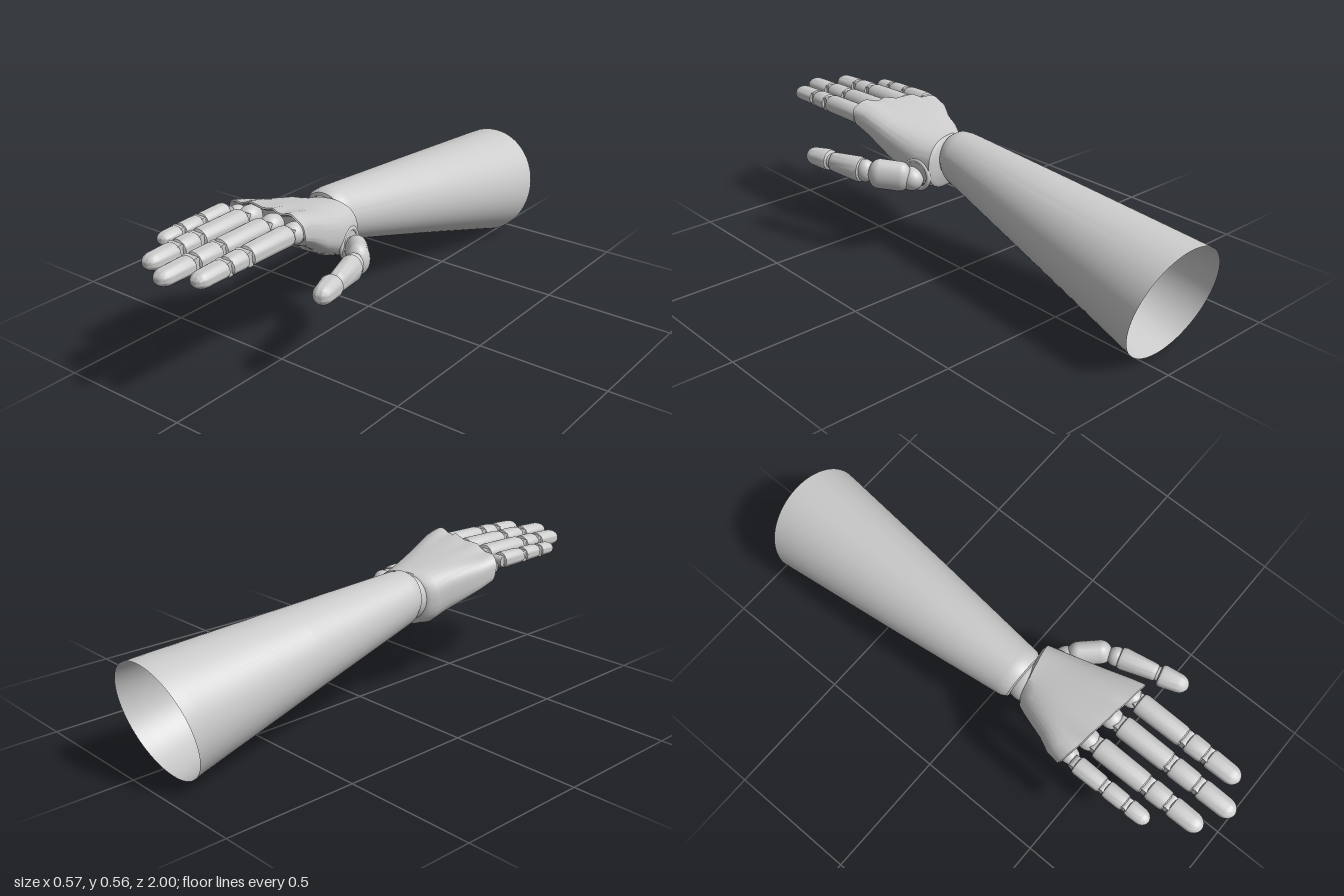
import * as THREE from 'three';
import { toCreasedNormals } from 'three/addons/utils/BufferGeometryUtils.js';

const mat = new THREE.MeshStandardMaterial({ color: 0xcccccc, side: THREE.DoubleSide });
const V = (x, y, z) => new THREE.Vector3(x, y, z);

function add(parent, name, geo) {
  const m = new THREE.Mesh(geo, mat);
  m.name = name;
  parent.add(m);
  return m;
}

// Skin through closed rings of equal point count
function loft(rings, capStart, capEnd) {
  const n = rings[0].length, pos = [], idx = [];
  rings.forEach(r => r.forEach(p => pos.push(p.x, p.y, p.z)));
  for (let i = 0; i < rings.length - 1; i++)
    for (let j = 0; j < n; j++) {
      const a = i * n + j, b = i * n + (j + 1) % n;
      idx.push(a, b, a + n, b, b + n, a + n);
    }
  const cap = (k, flip) => {
    const c = rings[k].reduce((s, p) => s.add(p), V(0, 0, 0)).divideScalar(n);
    const ci = pos.length / 3;
    pos.push(c.x, c.y, c.z);
    for (let j = 0; j < n; j++) {
      const a = k * n + j, b = k * n + (j + 1) % n;
      idx.push(ci, flip ? b : a, flip ? a : b);
    }
  };
  if (capStart) cap(0, true);
  if (capEnd) cap(rings.length - 1, false);
  const g = new THREE.BufferGeometry();
  g.setAttribute('position', new THREE.Float32BufferAttribute(pos, 3));
  g.setIndex(idx);
  return toCreasedNormals(g, 0.7);
}

// Superellipse ring: p < 1 is boxier; zx, zy slant its plane; tilt drops the right side; wave scallops it
function ring({ x, y, rx, ry, z, p = 1, zx = 0, zy = 0, tilt = 0, wave = 0 }, n = 72) {
  const pw = v => Math.sign(v) * Math.abs(v) ** p;
  return Array.from({ length: n }, (_, i) => {
    const a = i / n * Math.PI * 2, dx = rx * pw(Math.cos(a)), dy = ry * pw(Math.sin(a));
    const scallop = wave * Math.cos((x + dx - 0.058) / 0.104 * Math.PI * 2) * Math.sin(a);
    return V(x + dx, y + dy + tilt * dx + scallop, z + zx * dx + zy * dy);
  });
}

// Rounded finger bone of length len along +z, optionally with a domed fingertip
function bone(len, r0, r1, tip) {
  const e = 0.1 * r0;
  const pts = [[0, 0], [r0 * 0.8, 0], [r0 * 0.94, e], [r0, e * 4]];
  if (tip) for (let i = 0; i <= 8; i++) {
    const a = i / 8 * Math.PI / 2;
    pts.push([Math.max(r1 * Math.cos(a), 0), len - r1 * 1.15 * (1 - Math.sin(a))]);
  } else pts.push([r1, len - e * 4], [r1 * 0.94, len - e], [r1 * 0.8, len], [0, len]);
  const g = new THREE.LatheGeometry(pts.map(p => new THREE.Vector2(...p)), 28);
  return toCreasedNormals(g.rotateX(Math.PI / 2), 0.7);
}

// Bone placed from point a to point b
function boneBetween(parent, name, a, b, r0, r1, tip, sx = 1, sy = 1) {
  const m = add(parent, name, bone(a.distanceTo(b), r0, r1, tip));
  m.position.copy(a);
  m.lookAt(b);
  m.scale.set(sx, sy, 1);
}

function ball(parent, name, c, rx, ry = rx, rz = rx) {
  const m = add(parent, name, new THREE.SphereGeometry(1, 28, 18));
  m.position.copy(c);
  m.scale.set(rx, ry, rz);
}

// Hinge pin across a finger
function hinge(parent, c, r) {
  const m = add(parent, 'hinge', new THREE.CylinderGeometry(r * 0.72, r * 0.72, r * 1.5, 20));
  m.rotation.z = Math.PI / 2;
  m.position.copy(c);
}

export function createModel() {
  const root = new THREE.Group();
  root.name = 'prostheticArm';

  // Forearm sleeve, open at the elbow, with a rounded lip at the wrist
  add(root, 'forearmSleeve', loft([
    { x: -0.0725, y: 0.2175, rx: 0.2175, ry: 0.2125, z: -0.945, zy: -0.26 },
    { x: -0.0735, y: 0.226, rx: 0.213, ry: 0.208, z: -0.9, zy: -0.25 },
    { x: -0.087, y: 0.312, rx: 0.16, ry: 0.157, z: -0.4, zy: -0.08 },
    { x: -0.1, y: 0.393, rx: 0.105, ry: 0.108, z: 0.08, zy: 0.1 },
    { x: -0.1, y: 0.396, rx: 0.101, ry: 0.103, z: 0.11, zy: 0.12 },
    { x: -0.1, y: 0.397, rx: 0.091, ry: 0.093, z: 0.128, zy: 0.12 },
    { x: -0.1, y: 0.397, rx: 0.078, ry: 0.08, z: 0.132, zy: 0.12 },
    { x: -0.1, y: 0.397, rx: 0.072, ry: 0.074, z: 0.1, zy: 0.12 },
  ].map(s => ring(s))));
  ball(root, 'wristJoint', V(-0.1, 0.392, 0.15), 0.078, 0.085, 0.08);

  // Palm shell, scalloped and hollow at the knuckles
  const mouth = { x: -0.083, p: 0.55, zx: 0.15, zy: 0.2, tilt: 0.1 };
  add(root, 'palm', loft([
    { x: -0.07, y: 0.385, rx: 0.1, ry: 0.085, z: 0.145, zx: -0.25, p: 0.85 },
    { x: -0.07, y: 0.384, rx: 0.117, ry: 0.1, z: 0.155, zx: -0.25, p: 0.85 },
    { x: -0.068, y: 0.386, rx: 0.13, ry: 0.106, z: 0.2, zx: -0.1, p: 0.8 },
    { x: -0.071, y: 0.41, rx: 0.146, ry: 0.1, z: 0.26, p: 0.75 },
    { x: -0.075, y: 0.436, rx: 0.163, ry: 0.089, z: 0.33, zx: 0.05, zy: 0.1, p: 0.65, tilt: 0.04 },
    { ...mouth, y: 0.475, rx: 0.187, ry: 0.07, z: 0.41, wave: 0.003 },
    { ...mouth, y: 0.492, rx: 0.197, ry: 0.06, z: 0.462, wave: 0.007 },
    { ...mouth, y: 0.492, rx: 0.193, ry: 0.055, z: 0.466, wave: 0.007 },
    { ...mouth, y: 0.492, rx: 0.186, ry: 0.049, z: 0.46, wave: 0.006 },
    { ...mouth, y: 0.485, rx: 0.175, ry: 0.045, z: 0.415 },
  ].map(s => ring(s)), true, true));

  // Four fingers: x, radius, knuckle z, then start and end z of each bone
  const fingers = [
    ['indexFinger', 0.058, 0.041, 0.482, [0.515, 0.712, 0.728, 0.803, 0.815, 0.945]],
    ['middleFinger', -0.045, 0.042, 0.475, [0.52, 0.725, 0.738, 0.84, 0.856, 1.0]],
    ['ringFinger', -0.155, 0.042, 0.462, [0.505, 0.71, 0.726, 0.803, 0.817, 0.945]],
    ['littleFinger', -0.25, 0.034, 0.445, [0.487, 0.602, 0.615, 0.698, 0.71, 0.795]],
  ];
  for (const [name, x, r, kz, s] of fingers) {
    const f = new THREE.Group();
    f.name = name;
    root.add(f);
    const little = name === 'littleFinger';
    const y = z => 0.499 - (z - 0.5) * 0.012;
    ball(f, 'knuckle', V(little ? -0.235 : x, little ? 0.478 : 0.495, kz), r * 0.95, r * 0.95, r * 1.1);
    const at = z => V(x, y(z), z);
    hinge(f, at(s[0]), r * 0.85);
    boneBetween(f, 'proximalBone', at(s[0]), at(s[1]), r, r * 0.95, false, 1, 0.92);
    hinge(f, at((s[1] + s[2]) / 2), r * 0.9);
    boneBetween(f, 'middleBone', at(s[2]), at(s[3]), r * 0.95, r * 0.92, false, 1, 0.88);
    hinge(f, at((s[3] + s[4]) / 2), r * 0.85);
    boneBetween(f, 'fingertip', at(s[4]), at(s[5]).add(V(0, -0.002, 0)), r * 0.92, r * 0.88, true, 1, 0.82);
  }

  // Thumb with its socket in the side of the palm
  const thumb = new THREE.Group();
  thumb.name = 'thumb';
  root.add(thumb);
  const socket = add(thumb, 'thumbSocket', new THREE.TorusGeometry(0.056, 0.009, 12, 32));
  socket.position.set(0.055, 0.35, 0.185);
  socket.lookAt(0.2, 0.35, 0.16);
  ball(thumb, 'thumbBall', V(0.075, 0.335, 0.195), 0.043, 0.046, 0.05);
  const base = add(thumb, 'thumbBase', new THREE.CapsuleGeometry(0.042, 0.08, 10, 24).rotateX(Math.PI / 2));
  base.position.set(0.138, 0.351, 0.245);
  base.lookAt(0.205, 0.361, 0.32);
  base.scale.set(1, 1.4, 1);
  ball(thumb, 'thumbHinge', V(0.187, 0.357, 0.33), 0.036, 0.045, 0.036);
  boneBetween(thumb, 'thumbMiddle', V(0.192, 0.357, 0.34), V(0.23, 0.36, 0.482), 0.046, 0.036, false, 0.9, 1.1);
  ball(thumb, 'thumbTipHinge', V(0.232, 0.36, 0.49), 0.028);
  boneBetween(thumb, 'thumbTip', V(0.23, 0.362, 0.492), V(0.259, 0.362, 0.602), 0.042, 0.036, true);

  return root;
}
